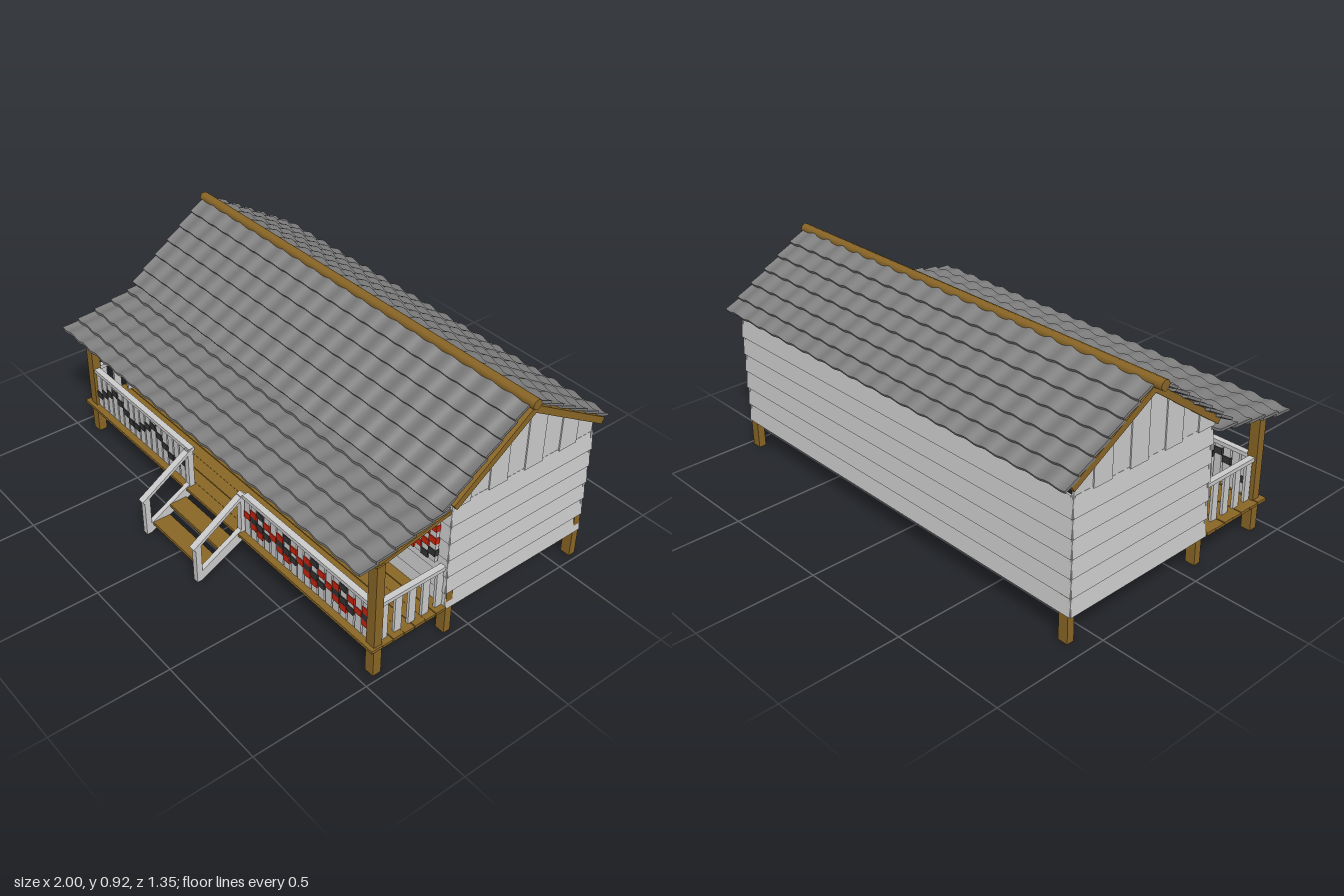
import * as THREE from 'three';

const mat = (color) => new THREE.MeshStandardMaterial({ color, side: THREE.DoubleSide });
const M = {
  grey: mat(0xcccccc), roof: mat(0x7d7d7d), wood: mat(0x8a6626), door: mat(0xa5b5ae),
  blue: mat(0x4a8ca6), glass: mat(0xaed0d2), red: mat(0xc8240f), black: mat(0x333333),
};
const CX = 0.015;                        // middle of the house body
const HALF = 0.96;                       // half length of the house body
const FRONT = 0.11, BACK = -0.61, RIDGE = -0.245;

export function createModel() {
  const root = new THREE.Group();
  root.name = 'porchHouse';

  const group = (name, parent = root) => {
    const g = new THREE.Group();
    g.name = name;
    parent.add(g);
    return g;
  };
  const add = (parent, name, geo, material, x = 0, y = 0, z = 0) => {
    const m = new THREE.Mesh(geo, material);
    m.name = name;
    m.position.set(x, y, z);
    parent.add(m);
    return m;
  };
  // box given by its limits
  const block = (parent, name, material, [x0, x1], [y0, y1], [z0, z1]) =>
    add(parent, name, new THREE.BoxGeometry(x1 - x0, y1 - y0, z1 - z0), material,
      (x0 + x1) / 2, (y0 + y1) / 2, (z0 + z1) / 2);
  // lay a geometry that is long in z between two points of the (z, y) plane
  const slope = (parent, name, material, x, [z0, y0], [z1, y1], w, h, shape) => {
    const len = Math.hypot(z1 - z0, y1 - y0);
    const geo = shape ? shape(w, h, len) : new THREE.BoxGeometry(w, h, len);
    const m = add(parent, name, geo, material, x, (y0 + y1) / 2, (z0 + z1) / 2);
    m.rotation.x = -Math.atan2(y1 - y0, z1 - z0);
    return m;
  };

  // Lapped siding, lower edge of each board standing out
  const siding = (name, x, z, turn, length) => {
    const wall = group(name);
    wall.position.set(x, 0, z);
    wall.rotation.y = turn;
    const n = 6, step = 0.475 / n;
    for (let i = 0; i < n; i++) {
      const b = add(wall, 'sidingBoard', new THREE.BoxGeometry(length, step + 0.004, 0.01),
        M.grey, 0, 0.125 + step * (i + 0.5), -0.004);
      b.rotation.x = -0.1;
    }
  };
  const midZ = (FRONT + BACK) / 2, depth = FRONT - BACK;
  siding('frontWall', CX, FRONT, 0, 2 * HALF);
  siding('backWall', CX, BACK, Math.PI, 2 * HALF);
  siding('leftWall', CX + HALF, midZ, Math.PI / 2, depth);
  siding('rightWall', CX - HALF, midZ, -Math.PI / 2, depth);

  // Gables of upright boards cut to the roof slope
  const roofLine = (z) => 0.882 - (z > RIDGE ? (z - RIDGE) * 0.745 : (RIDGE - z) * 0.63);
  for (const s of [1, -1]) {
    const gable = group(s > 0 ? 'leftGable' : 'rightGable');
    for (let k = 0; k < 8; k++) {
      const a = RIDGE + (4 - k) * 0.0895, b = a - 0.0895;
      const shape = new THREE.Shape([
        new THREE.Vector2(-a, 0.595), new THREE.Vector2(-b, 0.595),
        new THREE.Vector2(-b, roofLine(b)), new THREE.Vector2(-a, roofLine(a))]);
      const geo = new THREE.ExtrudeGeometry(shape, { depth: 0.01, bevelEnabled: false });
      const out = HALF - 0.004 - (k % 2) * 0.005;
      add(gable, 'gableBoard', geo, M.grey, CX + s * out - 0.005).rotation.y = Math.PI / 2;
    }
  }

  // Corrugated sheet: a thin box waved along x
  const sheet = (w, h, len) => {
    const geo = new THREE.BoxGeometry(w, h, len, 156, 1, 1);
    const p = geo.attributes.position;
    for (let i = 0; i < p.count; i++)
      p.setY(i, p.getY(i) + 0.005 * Math.cos((p.getX(i) * 2 * Math.PI) / 0.1));
    geo.computeVertexNormals();
    return geo;
  };
  const roofSide = (name, x0, x1, top, low, rows) => {
    const g = group(name);
    const at = (t, lift) => [top[0] + (low[0] - top[0]) * t, top[1] + (low[1] - top[1]) * t + lift];
    for (let i = 0; i < rows; i++) {
      const ends = [at(i / rows, 0), at(Math.min(1, (i + 1.12) / rows), 0.013)];
      ends.sort((a, b) => a[0] - b[0]);
      slope(g, 'roofSheet', M.roof, (x0 + x1) / 2, ends[0], ends[1], x1 - x0, 0.011, sheet);
    }
  };
  roofSide('frontRoof', -0.985, 0.98, [-0.235, 0.897], [0.16, 0.602], 6);
  roofSide('backRoof', -0.965, 0.985, [-0.255, 0.897], [-0.67, 0.643], 6);
  roofSide('porchRoof', -0.985, 0.967, [0.1, 0.592], [0.52, 0.508], 5);

  // Ridge beam, rafters and porch rafters
  add(root, 'ridgeBeam', new THREE.CylinderGeometry(0.022, 0.022, 2, 8), M.wood, 0, 0.899, -0.242)
    .rotation.z = Math.PI / 2;
  for (const x of [0.983, -0.953]) {
    slope(root, 'frontRafter', M.wood, x, [RIDGE, 0.877], [0.115, 0.618], 0.022, 0.028);
    slope(root, 'backRafter', M.wood, x, [-0.632, 0.65], [RIDGE, 0.877], 0.022, 0.028);
  }
  for (const x of [0.96, -0.93])
    slope(root, 'porchRafter', M.wood, x, [0.11, 0.582], [0.45, 0.512], 0.022, 0.016);

  // Posts under the house and at the porch corners
  for (const x of [-0.91, 0.955]) {
    const w = [x - 0.022, x + 0.022];
    block(root, 'porchPost', M.wood, w, [0, 0.52], [0.413, 0.45]);
    block(root, 'frontFootPost', M.wood, w, [0, 0.2], [0.073, 0.105]);
    block(root, 'backFootPost', M.wood, w, [0, 0.2], [-0.608, -0.576]);
  }

  // Porch floor
  const floor = group('porchFloor');
  for (let i = 0; i < 7; i++) {
    const z = 0.11 + i * 0.0513;
    block(floor, 'floorBoard', M.wood, [-0.955, 0.985], [0.127, 0.14 - (i % 2) * 0.002], [z, z + 0.049]);
  }

  // Doors and window on the front wall
  const opening = (name, x0, x1, y0, y1, frame, pane, t) => {
    const g = group(name);
    block(g, name + 'Panel', pane, [x0 + t, x1 - t], [y0, y1 - t], [0.098, 0.117]);
    block(g, name + 'Jamb', frame, [x0, x0 + t], [y0, y1], [0.095, 0.122]);
    block(g, name + 'Jamb', frame, [x1 - t, x1], [y0, y1], [0.095, 0.122]);
    block(g, name + 'Head', frame, [x0 + t, x1 - t], [y1 - t, y1], [0.095, 0.122]);
    return g;
  };
  for (const x of [-0.87, -0.22, 0.45])
    opening('door', x, x + 0.213, 0.14, 0.495, M.door, M.door, 0.027);
  const win = opening('window', 0.16, 0.33, 0.33, 0.52, M.blue, M.glass, 0.02);
  block(win, 'windowSill', M.blue, [0.16, 0.33], [0.325, 0.342], [0.095, 0.122]);
  block(win, 'windowMullion', M.blue, [0.238, 0.252], [0.342, 0.5], [0.1, 0.12]);

  // Slatted screens with a diamond of coloured squares
  const screen = (x0, tint) => {
    const g = group('slattedScreen');
    const w = 0.255 / 7, h = 0.2 / 7;
    for (let c = 0; c < 7; c++) {
      const x = x0 + c * w;
      block(g, 'screenSlat', M.grey, [x + 0.002, x + w - 0.002], [0.33, 0.53], [0.115, 0.13]);
      for (let r = 0; r < 7; r++) {
        const m = tint(Math.abs(c - 3) + Math.abs(r - 3), c, r);
        if (m) block(g, 'screenSquare', m, [x, x + w], [0.33 + r * h, 0.33 + (r + 1) * h], [0.114, 0.134]);
      }
    }
  };
  screen(-0.578, (d) => (d === 0 ? M.red : d === 3 ? M.black : null));
  screen(0.675, (d, c, r) => (d === 3 || d === 0 ? M.red : (d === 5 || (d === 1 && c === 3)) ? (r < 3 ? M.black : M.red) : null));

  // Front railing: slats with squares, marks(i) lists [height, material]
  const railing = (name, x0, x1, n, marks) => {
    const g = group(name);
    const step = (x1 - x0) / n;
    block(g, 'handRail', M.grey, [x0, x1], [0.31, 0.327], [0.418, 0.445]);
    for (let i = 0; i < n; i++) {
      const a = x0 + step * (i + 0.1), b = x0 + step * (i + 0.9);
      block(g, 'railSlat', M.grey, [a, b], [0.14, 0.312], [0.426, 0.438]);
      for (const [y, m] of marks(i))
        block(g, 'railSquare', m, [a - 0.002, b + 0.002], [y - 0.015, y + 0.015], [0.423, 0.441]);
    }
  };
  railing('rightRailing', -0.89, -0.165, 17, (i) => [[0.2 + 0.026 * (3 - Math.abs((i % 7) - 3)), M.black]]);
  railing('leftRailing', 0.195, 0.935, 18, (i) => [
    [[0.235, M.red]],
    [[0.265, M.red], [0.235, M.black], [0.205, M.red]],
    [[0.285, M.black], [0.225, M.black], [0.19, M.red]],
    [[0.26, M.red], [0.21, M.black]]][i % 4]);

  // Side railings
  for (const x of [-0.91, 0.955]) {
    const g = group('sideRailing');
    block(g, 'handRail', M.grey, [x - 0.013, x + 0.013], [0.31, 0.327], [0.1, 0.415]);
    for (let i = 0; i < 5; i++) {
      const z = 0.375 - i * 0.066;
      block(g, 'railSlat', M.grey, [x - 0.006, x + 0.006], [0.14, 0.312], [z, z + 0.033]);
    }
  }

  // Steps with stringers, newels and sloping handrails
  const steps = group('steps');
  for (const s of [-1, 1]) {
    const x = s * 0.178;
    const side = new THREE.Shape([
      new THREE.Vector2(-0.665, 0), new THREE.Vector2(-0.64, 0), new THREE.Vector2(-0.44, 0.1),
      new THREE.Vector2(-0.44, 0.155), new THREE.Vector2(-0.665, 0.03)]);
    add(steps, 'stringer', new THREE.ExtrudeGeometry(side, { depth: 0.022, bevelEnabled: false }),
      M.grey, x - 0.011).rotation.y = Math.PI / 2;
    block(steps, 'lowerNewel', M.grey, [x - 0.013, x + 0.013], [0, 0.175], [0.64, 0.665]);
    block(steps, 'upperNewel', M.grey, [x - 0.013, x + 0.013], [0.1, 0.32], [0.425, 0.45]);
    slope(steps, 'stairRail', M.grey, x, [0.43, 0.32], [0.672, 0.165], 0.03, 0.014);
  }
  block(steps, 'upperTread', M.wood, [-0.168, 0.168], [0.083, 0.097], [0.47, 0.548]);
  block(steps, 'lowerTread', M.wood, [-0.168, 0.168], [0.032, 0.046], [0.552, 0.632]);

  return root;
}
